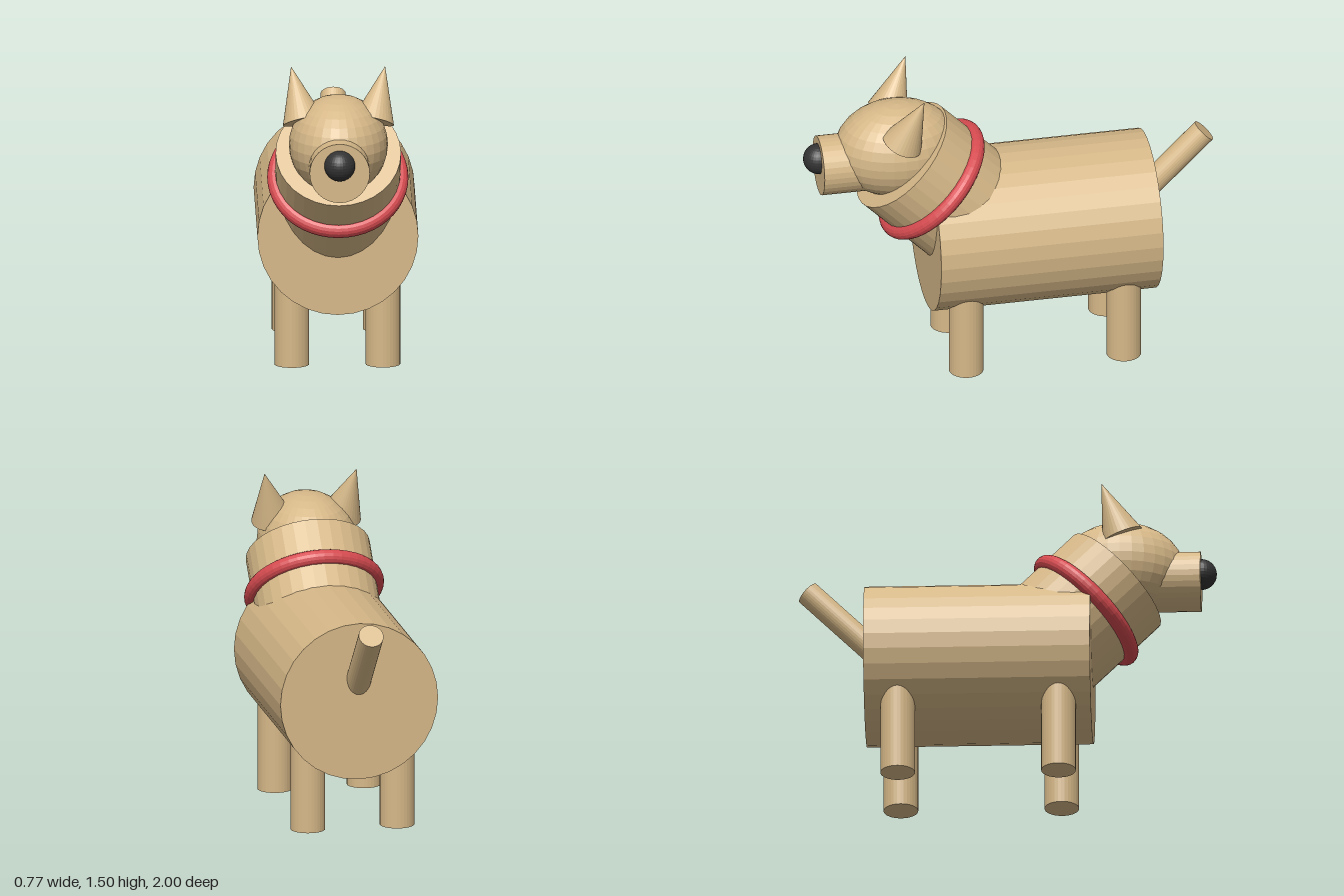
import * as THREE from 'three';

export function createModel() {
  const make = (name, color) => {
    const m = new THREE.MeshStandardMaterial({ color, flatShading: true });
    m.name = name;
    return m;
  };
  const fur = make('tan fur', 0xd6b888);
  const red = make('collar red', 0xd64b50);
  const black = make('nose black', 0x333333);

  const dog = new THREE.Group();
  dog.name = 'dog';
  const up = new THREE.Vector3(0, 1, 0);

  const add = (name, geometry, material, x, y, z) => {
    const mesh = new THREE.Mesh(geometry, material);
    mesh.name = name;
    mesh.position.set(x, y, z);
    dog.add(mesh);
    return mesh;
  };

  // Cylinder or cone running from point a to point b
  const rod = (name, a, b, rA, rB = rA) => {
    const start = new THREE.Vector3(...a);
    const dir = new THREE.Vector3(...b).sub(start);
    const length = dir.length();
    const mid = start.addScaledVector(dir, 0.5);
    const mesh = add(name, new THREE.CylinderGeometry(rB, rA, length, 32), fur, mid.x, mid.y, mid.z);
    mesh.quaternion.setFromUnitVectors(up, dir.normalize());
    return mesh;
  };

  // Torso, slanted neck and tail
  rod('body', [0, 0.66, -0.68], [0, 0.66, 0.405], 0.385);
  rod('neck', [0, 0.69, 0.115], [0, 1.095, 0.52], 0.3);
  rod('tail', [0, 0.70, -0.602], [0, 1.055, -0.957], 0.06);

  // Collar ring around the neck
  const collar = add('collar', new THREE.TorusGeometry(0.3, 0.038, 16, 48), red, 0, 0.943, 0.374);
  collar.rotation.x = -Math.PI / 4;

  // Head, muzzle and nose
  const head = add('head', new THREE.SphereGeometry(0.237, 32, 16), fur, 0, 1.143, 0.543);
  head.scale.z = 1.28;
  rod('muzzle', [0, 1.084, 0.55], [0, 1.084, 0.925], 0.144);
  add('nose', new THREE.SphereGeometry(0.074, 32, 16), black, 0, 1.122, 0.926);

  // Mirrored ears and legs
  for (const [label, s] of [['left', 1], ['right', -1]]) {
    rod(label + 'Ear', [s * 0.168, 1.258, 0.552], [s * 0.225, 1.505, 0.455], 0.1, 0);
    for (const [end, z] of [['Front', 0.25], ['Back', -0.52]]) {
      rod(label + end + 'Leg', [s * 0.218, 0, z], [s * 0.218, 0.52, z], 0.083);
    }
  }
  return dog;
}
